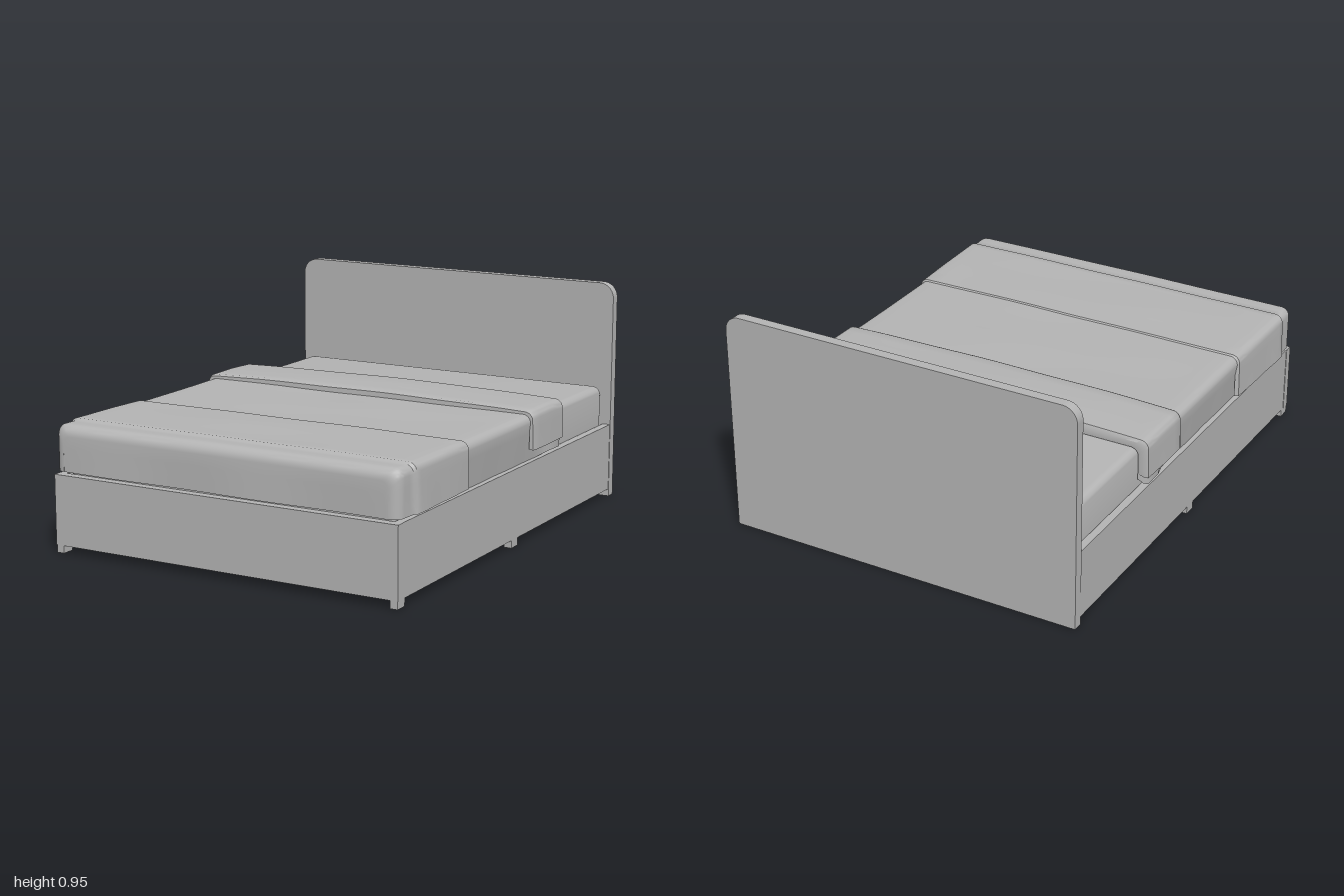
import * as THREE from 'three';
import { toCreasedNormals } from 'three/addons/utils/BufferGeometryUtils.js';

const grey = new THREE.MeshStandardMaterial({ color: 0xb4b4b4, side: THREE.DoubleSide });
grey.name = 'plain grey';

// Joins equal-length rows of [x, y, z] points into one smooth skin.
function skin(rows, crease = 0.75) {
  const n = rows[0].length, index = [];
  for (let j = 0; j < rows.length - 1; j++) {
    for (let i = 0; i < n - 1; i++) {
      const a = j * n + i, b = a + n;
      index.push(a, b, a + 1, a + 1, b, b + 1);
    }
  }
  const g = new THREE.BufferGeometry();
  g.setAttribute('position', new THREE.Float32BufferAttribute(rows.flat(2), 3));
  g.setIndex(index);
  return toCreasedNormals(g, crease);
}

// One cross-section of bedding, hanging from -x over the top to +x.
function drapeRow({ z, w, top, low, r = 0.035, flare = 0, crown = 0, wave = 0 }) {
  const half = [];
  for (let i = 0; i <= 4; i++) {
    const t = i / 4, y = low + (top - r - low) * t;
    const ripple = wave * 0.4 * Math.sin(z * 23 + 1) * (1 - t);
    half.push([w + flare * (1 - t) + ripple, y]);
  }
  for (let i = 1; i <= 6; i++) {
    const a = (i / 6) * Math.PI / 2;
    half.push([w - r + r * Math.cos(a), top - r + r * Math.sin(a)]);
  }
  const row = half.map(([x, y]) => [-x, y, z]);
  const inner = w - r, steps = 28;
  for (let i = 1; i < steps; i++) {
    const x = -inner + (2 * inner * i) / steps;
    const edge = 1 - (x / inner) ** 2;
    const y = top + edge * (crown + wave * Math.sin(x * 7 + z * 5) * Math.cos(z * 9 - x * 3));
    row.push([x, y, z]);
  }
  return row.concat(half.reverse().map(([x, y]) => [x, y, z]));
}

// Inserts in-between stations so the cloth undulates softly.
function drape(stations) {
  const rows = [];
  stations.forEach((s, k) => {
    rows.push(drapeRow(s));
    const e = stations[k + 1];
    if (!e) return;
    const n = Math.ceil((e.z - s.z) / 0.05);
    for (let i = 1; i < n; i++) {
      const mid = {};
      for (const key of Object.keys(s)) mid[key] = THREE.MathUtils.lerp(s[key], e[key], i / n);
      rows.push(drapeRow(mid));
    }
  });
  return rows;
}
const at = (z, w, top, low, flare = 0, crown = 0, wave = 0, r = 0.035) =>
  ({ z, w, top, low, flare, crown, wave, r });

// Rounded rectangle loop in plan, used for the mattress rings.
function planLoop(w, z0, z1, r, y) {
  const loop = [];
  [[w - r, z1 - r], [-w + r, z1 - r], [-w + r, z0 + r], [w - r, z0 + r]].forEach(([cx, cz], q) => {
    for (let i = 0; i <= 6; i++) {
      const a = (q + i / 6) * Math.PI / 2;
      loop.push([cx + r * Math.cos(a), y, cz + r * Math.sin(a)]);
    }
  });
  loop.push(loop[0]);
  return loop;
}

export function createModel() {
  const bed = new THREE.Group();
  bed.name = 'bed';
  const add = (name, geometry) => {
    const m = new THREE.Mesh(geometry, grey);
    m.name = name;
    bed.add(m);
    return m;
  };
  const box = (name, x0, x1, y0, y1, z0, z1) =>
    add(name, new THREE.BoxGeometry(x1 - x0, y1 - y0, z1 - z0))
      .position.set((x0 + x1) / 2, (y0 + y1) / 2, (z0 + z1) / 2);

  // Headboard with rounded upper corners
  const s = new THREE.Shape();
  s.moveTo(-0.782, 0);
  s.lineTo(0.782, 0);
  s.lineTo(0.782, 0.885);
  s.absarc(0.717, 0.885, 0.065, 0, Math.PI / 2);
  s.lineTo(-0.717, 0.95);
  s.absarc(-0.717, 0.885, 0.065, Math.PI / 2, Math.PI);
  s.closePath();
  add('headboard', new THREE.ExtrudeGeometry(s, { depth: 0.044, bevelEnabled: false, curveSegments: 10 }))
    .position.z = -1;

  // Base frame, open underneath
  box('footboard', -0.782, 0.782, 0.032, 0.324, 0.954, 0.992);
  for (const side of [-1, 1]) {
    const [x0, x1] = side > 0 ? [0.747, 0.78] : [-0.78, -0.747];
    const label = side > 0 ? 'left' : 'right';
    box(label + 'Rail', x0, x1, 0.032, 0.324, -0.956, 0.954);
    box(label + 'FrontFoot', x0, x1, 0, 0.032, 0.935, 0.99);
    box(label + 'MiddleFoot', x0, x1, 0, 0.032, -0.028, 0.028);
  }

  // Mattress shell, open underneath
  const z0 = -0.954, z1 = 0.95, w = 0.744, r = 0.035;
  const rings = [planLoop(w, z0, z1, 0.04, 0.28)];
  for (let i = 0; i <= 6; i++) {
    const a = (i / 6) * Math.PI / 2, d = r * (1 - Math.cos(a));
    rings.push(planLoop(w - d, z0 + d, z1 - d, 0.04 - d, 0.495 - r + r * Math.sin(a)));
  }
  rings.push(rings[0].map(() => [0, 0.495, 0]));
  // Reversed so that the outside faces outwards
  add('mattress', skin(rings.reverse()));

  // Duvet, tucked in along the rails
  add('duvet', skin(drape([
    at(-0.43, 0.748, 0.498, 0.36),
    at(-0.425, 0.772, 0.52, 0.345),
    at(-0.41, 0.785, 0.528, 0.338),
    at(-0.32, 0.785, 0.528, 0.34),
    at(-0.25, 0.78, 0.522, 0.325, -0.02, 0, 0.002),
    at(0.1, 0.778, 0.52, 0.325, -0.02, 0.003, 0.003),
    at(0.46, 0.778, 0.52, 0.325, -0.02, 0.003, 0.002),
  ])));

  // Turned-back fold with a thick front and back edge
  add('duvetFold', skin(drape([
    at(-0.432, 0.75, 0.498, 0.385),
    at(-0.434, 0.778, 0.525, 0.378),
    at(-0.425, 0.79, 0.536, 0.375, 0.004, 0.012, 0.002),
    at(-0.3, 0.792, 0.54, 0.375, 0.004, 0.013, 0.003),
    at(-0.15, 0.792, 0.538, 0.375, 0.004, 0.012, 0.003),
    at(-0.138, 0.788, 0.532, 0.375, 0.004, 0.012, 0.003),
    at(-0.136, 0.775, 0.515, 0.378),
  ])));

  // Raised foot end, falling over the front
  const end = [
    at(0.42, 0.772, 0.514, 0.34),
    at(0.432, 0.785, 0.526, 0.338, 0.003, 0.003, 0.002),
    at(0.6, 0.788, 0.53, 0.338, 0.004, 0.003, 0.003),
    at(0.8, 0.79, 0.532, 0.338, 0.008, 0.002, 0.003),
    at(0.865, 0.79, 0.533, 0.338, 0.006, 0.002, 0.002),
    at(0.875, 0.782, 0.526, 0.338, 0.004, 0.002, 0.002),
  ];
  for (let i = 0; i <= 7; i++) {
    const a = (i / 7) * Math.PI / 2, d = 0.045 * (1 - Math.cos(a));
    end.push(at(0.943 + 0.045 * Math.sin(a), 0.782 - d, 0.528 - d, 0.338, 0, 0.002, 0.001));
  }
  const rows = drape(end);
  // Front drop: the last section continues straight down to the hem
  const last = rows[rows.length - 1];
  for (const t of [0.33, 0.66, 1]) {
    rows.push(last.map(([x, y, z]) => [x, THREE.MathUtils.lerp(y, 0.338, t), z + 0.004 * t * Math.sin(x * 9)]));
  }
  add('duvetFootEnd', skin(rows));

  return bed;
}
